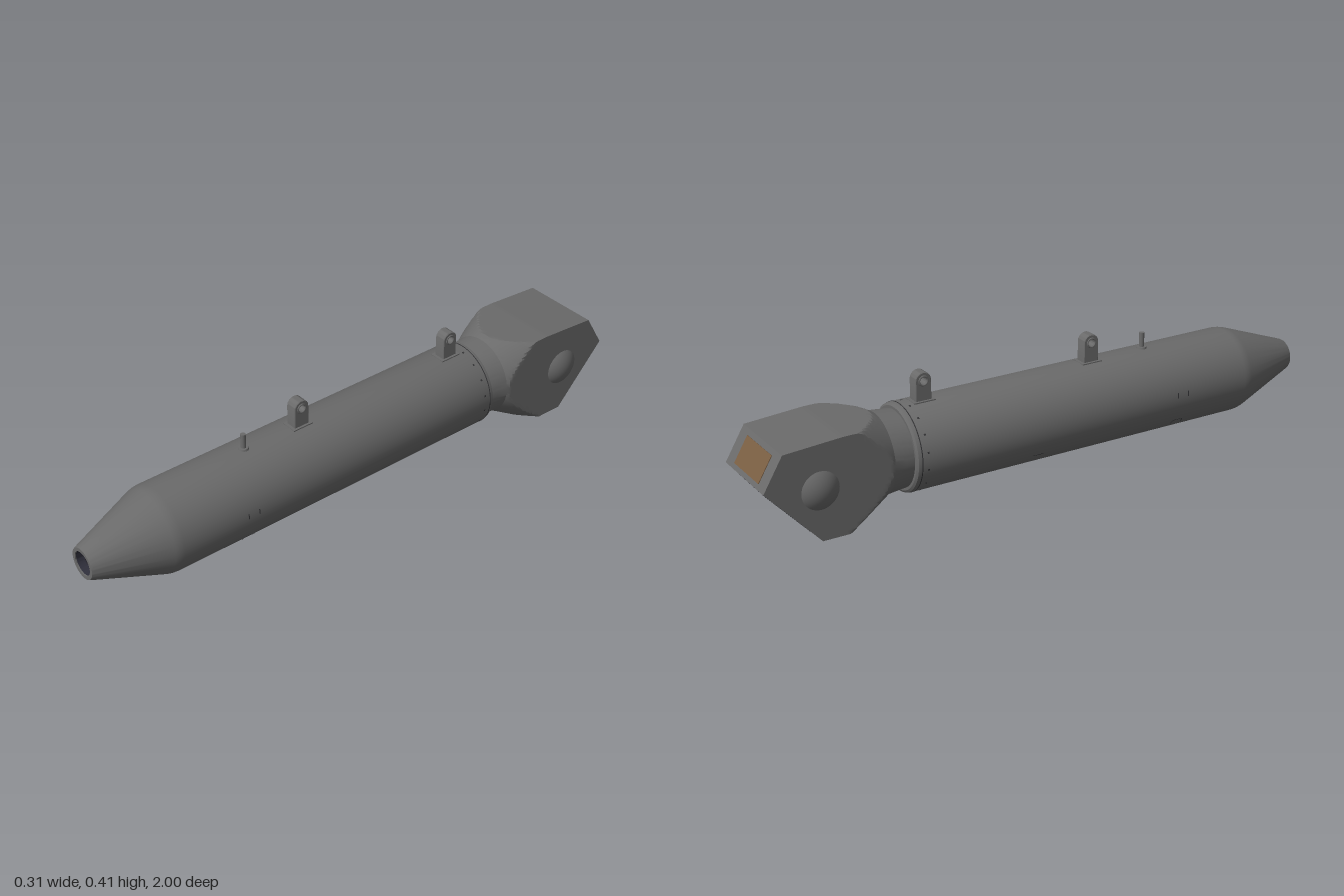
import * as THREE from 'three';
import { toCreasedNormals } from 'three/addons/utils/BufferGeometryUtils.js';

const AXIS = 0.175; // height of the body axis
const R = 0.143;    // body radius

const mat = (name, color) => {
  const m = new THREE.MeshStandardMaterial({ color });
  m.name = name;
  return m;
};

// Piecewise linear lookup in [[z, value], ...] with z falling
function lerpTable(t, z) {
  for (let i = 1; i < t.length; i++) {
    const [z0, v0] = t[i - 1], [z1, v1] = t[i];
    if (z >= z1) return v0 + (v1 - v0) * Math.max(0, (z0 - z) / (z0 - z1));
  }
  return t[t.length - 1][1];
}

// Surface of revolution along z; points are [radius, z]
function latheZ(points, segments = 64) {
  const g = new THREE.LatheGeometry(points.map(p => new THREE.Vector2(p[0], p[1])), segments);
  return toCreasedNormals(g.rotateX(Math.PI / 2), 0.4);
}

// Turret head: a flaring cone trimmed by a box with a chisel-shaped back
function headGeometry() {
  const flare = [[-0.49, 0.124], [-0.57, 0.132], [-1, 0.377]];
  const top = [[-0.49, 0.318], [-0.74, 0.318], [-0.935, 0.305], [-1, 0.195]];
  const bottom = [[-0.49, 0], [-0.82, 0], [-1, 0.195]];
  const zs = [-0.49, -0.53];
  for (let z = -0.57; z > -0.77; z -= 0.01) zs.push(z);
  zs.push(-0.82, -0.935, -1);
  const n = 96, pos = [], idx = [], clamp = THREE.MathUtils.clamp;
  for (const z of zs) {
    const r = lerpTable(flare, z);
    for (let j = 0; j < n; j++) {
      const a = (j / n) * Math.PI * 2;
      pos.push(clamp(r * Math.cos(a), -0.135, 0.135),
        clamp(AXIS + r * Math.sin(a), lerpTable(bottom, z), lerpTable(top, z)), z);
    }
  }
  for (let i = 0; i < zs.length - 1; i++) for (let j = 0; j < n; j++) {
    const a = i * n + j, b = i * n + (j + 1) % n, c = a + n, d = b + n;
    idx.push(a, c, b, b, c, d);
  }
  const g = new THREE.BufferGeometry();
  g.setAttribute('position', new THREE.Float32BufferAttribute(pos, 3));
  g.setIndex(idx);
  return toCreasedNormals(g, 0.35);
}

export function createModel() {
  const model = new THREE.Group();
  model.name = 'sensorPod';
  const grey = mat('bodyGrey', 0x6a6a6a);
  const dark = mat('darkGlass', 0x25232b);
  const navy = mat('ductNavy', 0x30303c);
  const amber = mat('amberGlass', 0x7a5e42);
  const black = mat('seamBlack', 0x363638);

  const add = (name, geo, material, x = 0, y = 0, z = 0, parent = model) => {
    const m = new THREE.Mesh(geo, material);
    m.name = name;
    m.position.set(x, y, z);
    parent.add(m);
    return m;
  };

  // Body tube with tapered tail and recessed outlet
  add('body', latheZ([[0.1, -0.502], [0.134, -0.502], [0.141, -0.497], [R, -0.488], [R, 0.735],
    [0.1415, 0.75], [0.138, 0.765], [0.055, 0.994], [0.052, 1], [0.04, 1], [0.039, 0.95]]), grey, 0, AXIS);
  add('seamRing', latheZ([[R, -0.486], [R + 0.0008, -0.486], [R + 0.0008, -0.483], [R, -0.483]]), black, 0, AXIS);

  // Outlet: dark lining, hub and three spokes
  const outlet = new THREE.Group();
  outlet.name = 'outlet';
  outlet.position.set(0, AXIS, 0);
  model.add(outlet);
  add('outletLining', latheZ([[0.0395, 0.996], [0.0385, 0.95], [0, 0.95]]), navy, 0, 0, 0, outlet);
  add('outletHub', new THREE.CylinderGeometry(0.012, 0.014, 0.03, 24).rotateX(Math.PI / 2), navy, 0, 0, 0.965, outlet);
  add('hubRing', new THREE.TorusGeometry(0.0135, 0.002, 8, 32), dark, 0, 0, 0.98, outlet);
  for (let i = 0; i < 3; i++) {
    const a = Math.PI / 6 + (i * Math.PI * 2) / 3;
    const s = add('outletSpoke', new THREE.BoxGeometry(0.027, 0.004, 0.02), dark,
      0.026 * Math.cos(a), 0.026 * Math.sin(a), 0.968, outlet);
    s.rotation.z = a;
  }

  // Turret head
  add('turretHead', headGeometry(), grey);

  // Windows on the two sloping back faces, given by the face's edge points [y, z]
  const windowPlate = (name, material, w, from, to, t0, t1) => {
    const dy = to[0] - from[0], dz = to[1] - from[1], len = Math.hypot(dy, dz);
    const t = (t0 + t1) / 2;
    const p = add(name, new THREE.BoxGeometry(w, 0.004, len * (t1 - t0)), material,
      0, from[0] + dy * t, from[1] + dz * t);
    p.rotation.x = -Math.atan2(dy, dz);
  };
  windowPlate('upperWindow', amber, 0.172, [0.305, -0.935], [0.195, -1], 0.15, 0.87);
  windowPlate('lowerWindow', dark, 0.2, [0.195, -1], [0, -0.82], 0.1, 0.87);

  // Domed pivot covers on the head sides
  const capR = 0.098, capAngle = Math.asin(0.063 / capR);
  for (const s of [1, -1]) {
    const g = new THREE.SphereGeometry(capR, 40, 10, 0, Math.PI * 2, 0, capAngle).rotateZ(-s * Math.PI / 2);
    add('pivotDome', g, grey, s * (0.157 - capR), 0.165, -0.82);
  }

  // Suspension lugs: rounded plate with an eye, on a base pad
  const lugShape = new THREE.Shape();
  lugShape.moveTo(-0.027, 0);
  lugShape.lineTo(0.027, 0);
  lugShape.lineTo(0.027, 0.07);
  lugShape.absarc(0, 0.07, 0.027, 0, Math.PI, false);
  lugShape.lineTo(-0.027, 0);
  const eye = new THREE.Path();
  eye.absarc(0, 0.07, 0.012, 0, Math.PI * 2, true);
  lugShape.holes.push(eye);
  const lugGeo = toCreasedNormals(new THREE.ExtrudeGeometry(lugShape, {
    depth: 0.036, bevelEnabled: true, bevelThickness: 0.002, bevelSize: 0.002, bevelOffset: -0.002,
    bevelSegments: 1, curveSegments: 20,
  }).translate(0, 0, -0.018).rotateY(Math.PI / 2), 0.5);
  for (const z of [0.2, -0.41]) {
    const lug = new THREE.Group();
    lug.name = 'suspensionLug';
    lug.position.set(0, 0.313, z);
    model.add(lug);
    add('lugPlate', lugGeo, grey, 0, 0, 0, lug);
    add('lugPad', new THREE.BoxGeometry(0.056, 0.012, 0.074), grey, 0, 0, 0, lug);
    for (const s of [1, -1])
      add('eyeRim', new THREE.TorusGeometry(0.0145, 0.003, 8, 28).rotateY(Math.PI / 2), grey, s * 0.02, 0.07, 0, lug);
  }

  // Connector pin ahead of the lugs
  add('connectorBase', new THREE.CylinderGeometry(0.016, 0.018, 0.008, 24), grey, 0, 0.319, 0.41);
  add('connectorPin', new THREE.CylinderGeometry(0.0085, 0.0085, 0.054, 20), grey, 0, 0.344, 0.41);

  // Small marks lying on the body skin at an angle from the +x side
  const skinMark = (name, angle, z, across, along) => {
    const m = add(name, new THREE.BoxGeometry(0.002, across, along), black,
      R * Math.cos(angle), AXIS + R * Math.sin(angle), z);
    m.rotation.z = angle;
  };
  // Fasteners around the joint with the head
  for (let i = 0; i < 16; i++) skinMark('fastener', ((i + 0.5) / 16) * Math.PI * 2, -0.463, 0.006, 0.006);
  // Panel seams, mirrored on both sides
  for (const side of [0, 1]) {
    const at = a => (side ? Math.PI - a : a);
    for (const z of [0.46, 0.5]) {
      skinMark('panelSeam', at(0.08), z, 0.018, 0.003);
      skinMark('panelSeam', at(-0.72), z, 0.02, 0.003);
    }
    skinMark('panelSeam', at(-0.64), 0.48, 0.003, 0.036);
    skinMark('panelSeam', at(-0.62), -0.06, 0.003, 0.036);
  }

  // Cooling slots under the tail cone
  const slope = (0.138 - 0.055) / (0.994 - 0.765);
  for (let i = 0; i < 4; i++) {
    const z = 0.775 + i * 0.025;
    const r = 0.138 - (z - 0.765) * slope;
    const slot = add('coolingSlot', new THREE.BoxGeometry(0.028, 0.003, 0.007), black, 0, AXIS - r, z);
    slot.rotation.x = -Math.atan(slope);
  }
  return model;
}
